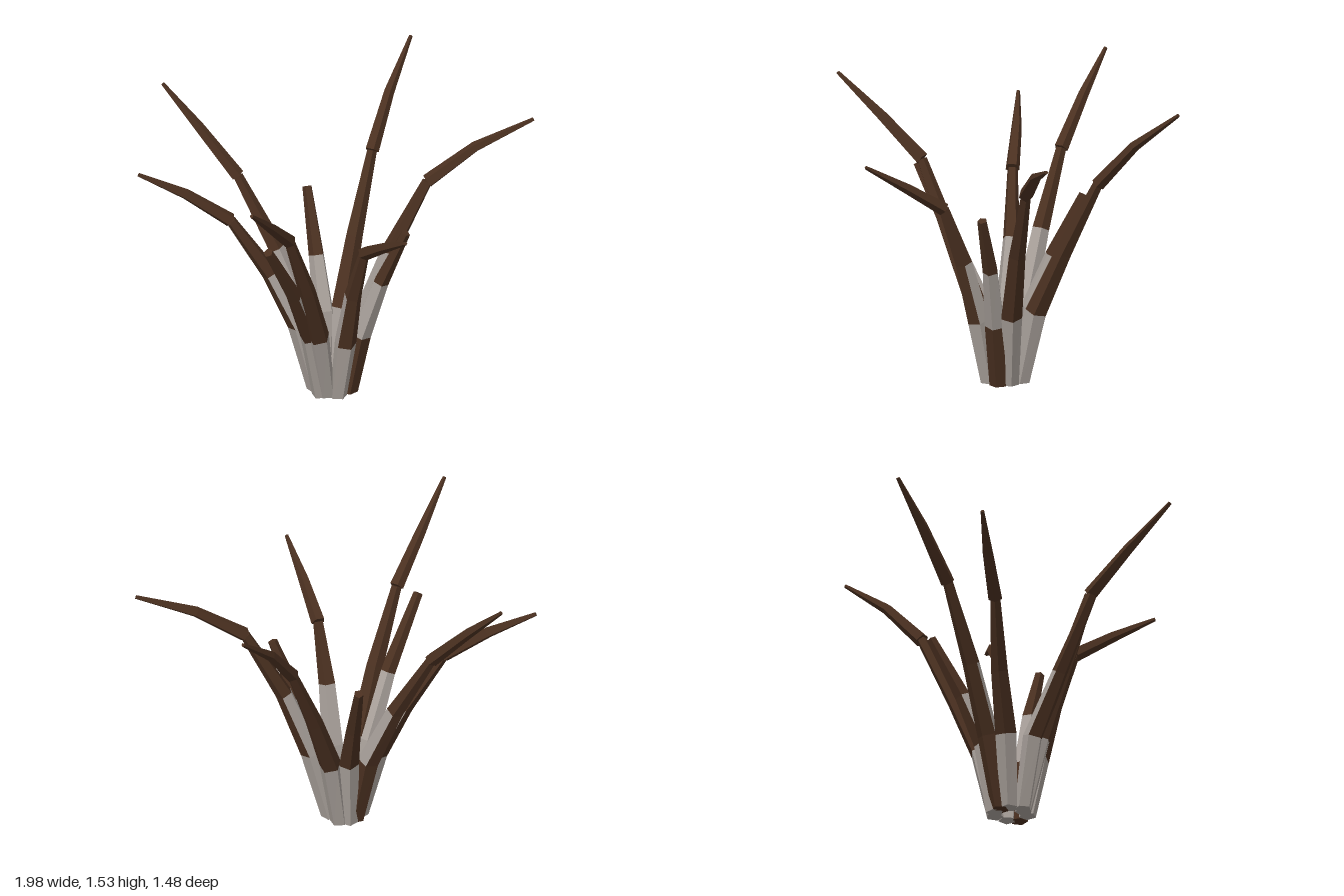
import * as THREE from 'three';

const SIDES = 5;
const BARK = 0, PALE = 1;

const bark = new THREE.MeshStandardMaterial({ color: 0x4a3020 });
bark.name = 'dark brown bark';
const pale = new THREE.MeshStandardMaterial({ color: 0xa8a09a });
pale.name = 'pale grey stem';

// Five-sided tapered limb; colourOf(segment, side) picks the face colour.
// One edge always points along "out", so sides 1 to 3 face the middle of the clump.
function limb(name, path, radii, out, colourOf, flatBase) {
  const pts = path.map((p) => new THREE.Vector3(...p));
  const rings = pts.map((p, i) => {
    const t = pts[Math.min(i + 1, pts.length - 1)].clone().sub(pts[Math.max(i - 1, 0)]).normalize();
    if (flatBase && i === 0) t.set(0, 1, 0);
    const o = out.clone().addScaledVector(t, -out.dot(t)).normalize();
    const s = t.clone().cross(o);
    return Array.from({ length: SIDES }, (_, j) => {
      const a = (j / SIDES) * Math.PI * 2;
      return p.clone().addScaledVector(o, Math.cos(a) * radii[i]).addScaledVector(s, Math.sin(a) * radii[i]);
    });
  });
  const faces = [[], []];
  const tri = (c, ...v) => v.forEach((q) => faces[c].push(q.x, q.y, q.z));
  for (let i = 0; i < rings.length - 1; i++) {
    for (let j = 0; j < SIDES; j++) {
      const k = (j + 1) % SIDES, c = colourOf(i, j);
      tri(c, rings[i][j], rings[i][k], rings[i + 1][k]);
      tri(c, rings[i][j], rings[i + 1][k], rings[i + 1][j]);
    }
  }
  // End caps
  const last = rings.length - 1;
  for (let j = 0; j < SIDES; j++) {
    const k = (j + 1) % SIDES;
    tri(colourOf(0, 0), pts[0], rings[0][k], rings[0][j]);
    tri(colourOf(last - 1, 0), pts[last], rings[last][j], rings[last][k]);
  }
  const geo = new THREE.BufferGeometry();
  geo.setAttribute('position', new THREE.Float32BufferAttribute([...faces[0], ...faces[1]], 3));
  geo.addGroup(0, faces[0].length / 3, 0);
  geo.addGroup(faces[0].length / 3, faces[1].length / 3, 1);
  geo.computeVertexNormals();
  const mesh = new THREE.Mesh(geo, [bark, pale]);
  mesh.name = name;
  return mesh;
}

// stem: points from the ground up; tip: the two points beyond the joint.
// foot: colour of the lowest segment; inner / outer: colours of the second one.
const STALKS = [
  { name: 'backLeftStalk', stem: [[-0.03, 0, -0.1], [0.03, 0.38, -0.16], [0.14, 0.71, -0.27], [0.29, 1.1, -0.41]],
    tip: [[0.44, 1.33, -0.56], [0.625, 1.525, -0.735]], foot: PALE, inner: BARK, outer: BARK },
  { name: 'backRightStalk', stem: [[-0.12, 0, -0.09], [-0.17, 0.38, -0.16], [-0.28, 0.72, -0.27], [-0.43, 1.09, -0.42]],
    tip: [[-0.58, 1.32, -0.58], [-0.715, 1.515, -0.735]], foot: BARK, inner: PALE, outer: BARK },
  { name: 'rightStalk', stem: [[-0.15, 0, -0.05], [-0.23, 0.37, -0.08], [-0.36, 0.66, -0.14], [-0.55, 0.97, -0.2]],
    tip: [[-0.76, 1.12, -0.28], [-0.99, 1.24, -0.355]], foot: PALE, inner: PALE, outer: BARK },
  { name: 'frontRightStalk', stem: [[-0.12, 0, 0.03], [-0.19, 0.38, 0.1], [-0.29, 0.71, 0.2], [-0.43, 1.09, 0.31]],
    tip: [[-0.59, 1.28, 0.47], [-0.765, 1.48, 0.655]], foot: PALE, inner: BARK, outer: BARK },
  { name: 'frontRightShortStalk', stem: [[-0.15, 0, 0.02], [-0.22, 0.37, 0.06], [-0.35, 0.68, 0.17], [-0.54, 1.04, 0.3]],
    foot: PALE, inner: PALE, outer: BARK },
  { name: 'frontStalk', stem: [[-0.07, 0, 0.06], [-0.055, 0.33, 0.12], [-0.045, 0.64, 0.2], [-0.025, 0.94, 0.31]],
    tip: [[0, 1.07, 0.51], [0.035, 1.205, 0.735]], foot: PALE, inner: PALE, outer: BARK },
  { name: 'leftStalk', stem: [[0, 0, -0.03], [0.09, 0.38, -0.01], [0.23, 0.74, 0], [0.43, 1.11, 0.01]],
    tip: [[0.68, 1.27, 0.03], [0.985, 1.385, 0.06]], foot: PALE, inner: PALE, outer: BARK },
  { name: 'frontLeftShortStalk', stem: [[0, 0, 0.03], [0.05, 0.33, 0.06], [0.14, 0.64, 0.11], [0.245, 0.94, 0.185]],
    foot: BARK, inner: PALE, outer: PALE },
  { name: 'backShortStalk', stem: [[-0.08, 0, -0.11], [-0.065, 0.38, -0.16], [-0.06, 0.64, -0.27], [-0.05, 0.95, -0.43]],
    foot: PALE, inner: PALE, outer: BARK },
];

export function createModel() {
  const clump = new THREE.Group();
  clump.name = 'stalkClump';
  for (const s of STALKS) {
    const stalk = new THREE.Group();
    stalk.name = s.name;
    const a = s.stem[0], end = s.stem[3];
    const out = new THREE.Vector3(end[0] - a[0], 0, end[2] - a[2]).normalize();

    // Stem: foot, bicoloured middle and bark-covered upper part
    const colour = (i, j) => (i === 0 ? s.foot : i === 1 ? (j > 0 && j < 4 ? s.inner : s.outer) : BARK);
    const radii = s.tip ? [0.045, 0.057, 0.045, 0.027] : [0.045, 0.054, 0.041, 0.025];
    stalk.add(limb('stem', s.stem, radii, out, colour, true));

    // Tapering tip that overlaps the stem end like a sleeve
    if (s.tip) stalk.add(limb('tip', [end, ...s.tip], [0.037, 0.028, 0.01], out, () => BARK, false));
    clump.add(stalk);
  }
  return clump;
}
